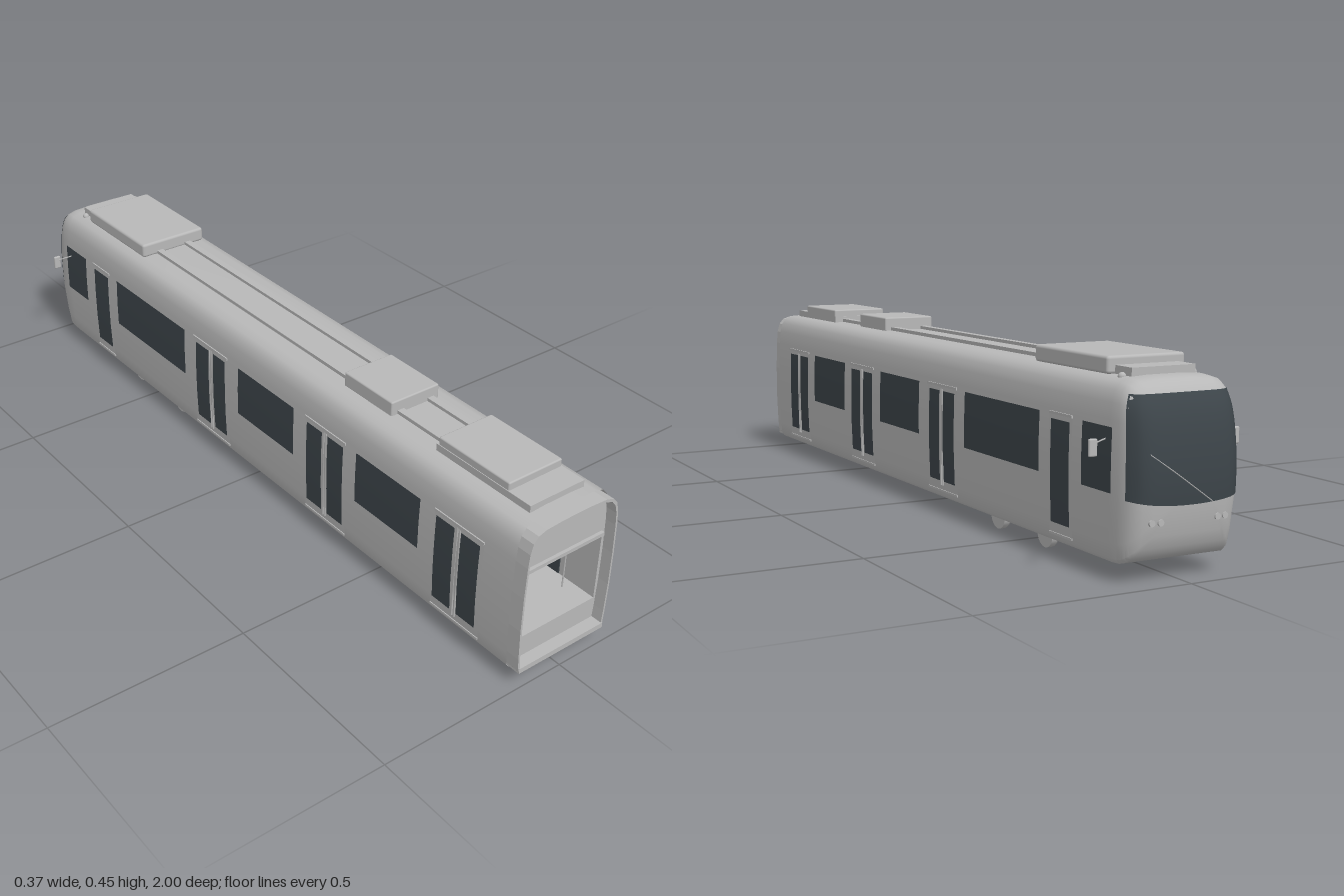
import * as THREE from 'three';
import { toCreasedNormals } from 'three/addons/utils/BufferGeometryUtils.js';
import { RoundedBoxGeometry } from 'three/addons/geometries/RoundedBoxGeometry.js';

const grey = new THREE.MeshStandardMaterial({ color: 0xb8b8b8, side: THREE.DoubleSide });
grey.name = 'body grey';
const glass = new THREE.MeshStandardMaterial({ color: 0x3d454a, side: THREE.DoubleSide });
glass.name = 'dark glass';

// Half cross-section of the car body, bottom to top
const HALF = [[0.125, 0.037], [0.132, 0.046], [0.1345, 0.08], [0.1375, 0.16], [0.1375, 0.25], [0.135, 0.33],
  [0.132, 0.365], [0.125, 0.39], [0.112, 0.405], [0.09, 0.412], [0.04, 0.415]];
const RING = [...HALF, ...HALF.map(([x, y]) => [-x, y]).reverse()];
const CY = 0.22;

// Half width of the body at height y
function halfWidth(y) {
  for (let i = 1; i < HALF.length; i++) {
    const [x0, y0] = HALF[i - 1], [x1, y1] = HALF[i];
    if (y <= y1) return x0 + (x1 - x0) * Math.max(0, (y - y0) / (y1 - y0));
  }
  return HALF.at(-1)[0];
}

// Fraction of the cross-section reached by a point: 0 at centre, 1 on the outline
function reach(x, y) {
  let s = 0;
  RING.forEach(([ax, ay], i) => {
    const [bx, by] = RING[(i + 1) % RING.length];
    const nx = by - ay, ny = ax - bx;
    s = Math.max(s, (nx * x + ny * (y - CY)) / (nx * ax + ny * (ay - CY)));
  });
  return Math.min(1, s);
}

// Rounded cab end
function noseZ(x, y) {
  const t = Math.cbrt(1 - reach(x, y) ** 6);
  return THREE.MathUtils.lerp(-0.9, -0.996 + 0.9 * (y - CY) ** 2, t);
}

// Surface through rows of points
function loft(rows, closed, crease = 0.6) {
  const pos = [], idx = [], n = rows[0].length;
  rows.forEach(r => r.forEach(p => pos.push(...p)));
  for (let i = 0; i < rows.length - 1; i++) {
    for (let j = 0; j < (closed ? n : n - 1); j++) {
      const a = i * n + j, b = i * n + (j + 1) % n, c = a + n, d = b + n;
      idx.push(a, c, b, b, c, d);
    }
  }
  const g = new THREE.BufferGeometry();
  g.setAttribute('position', new THREE.Float32BufferAttribute(pos, 3));
  g.setIndex(idx);
  return toCreasedNormals(g, crease);
}

function outline(k, Type = THREE.Shape) {
  const s = new Type();
  RING.forEach(([x, y], i) => s[i ? 'lineTo' : 'moveTo'](x * k, CY + (y - CY) * k));
  s.closePath();
  return s;
}

export function createModel() {
  const root = new THREE.Group();
  const add = (name, geo, mat = grey, parent = root) => {
    const m = new THREE.Mesh(geo, mat);
    m.name = name;
    parent.add(m);
    return m;
  };
  // Box given by its limits
  const box = (name, x0, x1, y0, y1, z0, z1, mat = grey, round = 0) => {
    const s = [x1 - x0, y1 - y0, z1 - z0];
    const g = round ? new RoundedBoxGeometry(...s, 2, round) : new THREE.BoxGeometry(...s);
    return add(name, g.translate((x0 + x1) / 2, (y0 + y1) / 2, (z0 + z1) / 2), mat);
  };
  const rod = (name, a, b, r, parent = root) => {
    const A = new THREE.Vector3(...a), B = new THREE.Vector3(...b);
    return add(name, new THREE.TubeGeometry(new THREE.LineCurve3(A, B), 1, r, 6), grey, parent);
  };
  // Thin panel that follows the curve of a side wall
  const sidePanel = (name, side, z0, z1, y0, y1, off, mat) => {
    const rows = [z1, z0].map(z => Array.from({ length: 7 }, (_, j) => {
      const y = y0 + (y1 - y0) * j / 6;
      return [side * (halfWidth(y) + off), y, z];
    }));
    if (side < 0) rows.reverse();
    add(name, loft(rows, false), mat);
  };

  // Body shell with rounded cab end
  const rows = [0.965, 0.03].map(z => RING.map(([x, y]) => [x, y, z]));
  for (const s of [1, 0.993, 0.975, 0.95, 0.92, 0.87, 0.8, 0.65, 0.4, 0]) {
    rows.push(RING.map(([px, py]) => {
      const x = px * s, y = CY + (py - CY) * s;
      return [x, y, noseZ(x, y)];
    }));
  }
  add('bodyShell', loft(rows, true));

  // Windscreen
  const screen = [];
  for (let j = 0; j <= 14; j++) {
    screen.push(Array.from({ length: 25 }, (_, i) => {
      const u = i / 12 - 1;
      const y = THREE.MathUtils.lerp(0.162 + 0.012 * u * u, 0.386, j / 14);
      const x = u * 0.97 * halfWidth(CY + (y - CY) / 0.97);
      return [x, y, noseZ(x, y) - 0.003];
    }));
  }
  add('windscreen', loft(screen, false), glass);

  // Wiper and small lamps below the windscreen
  const wiper = [[0.1, 0.27], [0.05, 0.235], [0, 0.2], [-0.05, 0.165]];
  add('wiper', new THREE.TubeGeometry(new THREE.CatmullRomCurve3(
    wiper.map(([x, y]) => new THREE.Vector3(x, y, noseZ(x, y) - 0.004))), 12, 0.0012, 5));
  for (const x of [-0.09, -0.07, 0.07, 0.09]) {
    add('lamp', new THREE.CylinderGeometry(0.007, 0.007, 0.006, 14).rotateX(Math.PI / 2))
      .position.set(x, 0.13, noseZ(x, 0.13));
  }

  // Open end: frame with a large opening, outer lip and sill
  const frame = outline(0.975);
  const hole = new THREE.Path();
  hole.moveTo(-0.122, 0.11).lineTo(0.122, 0.11).lineTo(0.122, 0.28).lineTo(0.108, 0.297)
    .lineTo(-0.108, 0.297).lineTo(-0.122, 0.28).closePath();
  frame.holes.push(hole);
  add('endFrame', new THREE.ExtrudeGeometry(frame, { depth: 0.03, bevelEnabled: false }).translate(0, 0, 0.94));
  const lip = outline(0.98);
  lip.holes.push(outline(0.945, THREE.Path));
  add('endLip', new THREE.ExtrudeGeometry(lip, { depth: 0.05, bevelEnabled: false }).translate(0, 0, 0.948));
  box('endSill', -0.128, 0.128, 0.042, 0.055, 0.96, 1);
  box('openingRail', -0.12, 0.12, 0.288, 0.297, 0.965, 0.978);

  // Interior
  box('floor', -0.125, 0.125, 0.1, 0.108, -0.78, 0.95);
  box('ceiling', -0.124, 0.124, 0.37, 0.376, -0.78, 0.95);
  box('cabPartition', -0.124, 0.124, 0.1, 0.376, -0.79, -0.78);
  box('partitionWindow', -0.035, 0.035, 0.263, 0.288, -0.78, -0.777, glass);
  for (const s of [-1, 1]) {
    box('innerWall', s * 0.125 - 0.001, s * 0.125 + 0.001, 0.1, 0.376, -0.78, 0.95);
    const [a, b] = s > 0 ? [0.003, 0.073] : [-0.073, -0.003];
    box('partitionDoor', a, b, 0.11, 0.265, -0.78, -0.774);
    for (const z of [0.9, 0.69, 0.42, 0.23, -0.07, -0.25]) rod('grabPole', [s * 0.096, 0.108, z], [s * 0.096, 0.37, z], 0.002);
    rod('grabRail', [s * 0.096, 0.3, 0.9], [s * 0.096, 0.3, -0.25], 0.002);
  }

  // Side windows and doors, as [z rear, z front]
  const windows = [[0.445, 0.67], [-0.032, 0.204], [-0.627, -0.279], [-0.911, -0.8]];
  const doors = [
    { span: [0.718, 0.874], panes: [[0.804, 0.863], [0.724, 0.783]] },
    { span: [0.25, 0.405], panes: [[0.338, 0.397], [0.257, 0.316]] },
    { span: [-0.236, -0.08], panes: [[-0.145, -0.091], [-0.225, -0.166]] },
    { span: [-0.76, -0.668], panes: [[-0.751, -0.676]] },
  ];
  for (const s of [-1, 1]) {
    const pane = (name, [z0, z1], y0, y1) => {
      sidePanel(name, s, z0, z1, y0, y1, 0.0015, glass);
      if (z0 > -0.77) box(name + 'Inside', s * 0.1225 - 0.0015, s * 0.1225 + 0.0015, Math.max(y0, 0.11), y1, z0, z1, glass);
    };
    windows.forEach(w => pane('sideWindow', w, 0.182, 0.316));
    for (const { span: [z0, z1], panes } of doors) {
      sidePanel('doorLeaf', s, z0, z1, 0.057, 0.314, 0.0006, grey);
      panes.forEach(p => pane('doorPane', p, 0.08, 0.305));
      const xt = s * halfWidth(0.318), xb = s * halfWidth(0.056);
      box('doorHeader', xt - 0.003, xt + 0.003, 0.315, 0.321, z0, z1);
      box('doorStep', xb - 0.003, xb + 0.003, 0.053, 0.058, z0, z1);
      if (panes.length > 1) {
        const zm = (z0 + z1) / 2;
        for (const d of [-0.004, 0.004]) rod('doorSeal', [s * 0.1365, 0.07, zm + d], [s * 0.1365, 0.31, zm + d], 0.0022);
      }
    }
    // Mirrors
    const mirror = new THREE.Group();
    mirror.name = 'mirror';
    root.add(mirror);
    rod('mirrorArm', [s * 0.13, 0.292, -0.885], [s * 0.175, 0.284, -0.9], 0.0018, mirror);
    add('mirrorHousing', new RoundedBoxGeometry(0.02, 0.037, 0.008, 2, 0.0035), grey, mirror)
      .position.set(s * 0.177, 0.277, -0.902);
  }

  // Roof equipment
  box('frontRoofBase', -0.08, 0.078, 0.405, 0.43, 0.65, 0.94);
  box('frontRoofUnit', -0.078, 0.078, 0.41, 0.449, 0.654, 0.874, grey, 0.004);
  box('middleRoofUnit', -0.072, 0.07, 0.41, 0.449, 0.316, 0.488, grey, 0.004);
  box('rearRoofUnit', -0.098, 0.097, 0.412, 0.45, -0.83, -0.536, grey, 0.007);
  box('rearRoofBase', -0.08, 0.078, 0.405, 0.431, -0.89, -0.82);
  for (const x of [-0.045, 0.045]) box('roofDuct', x - 0.009, x + 0.009, 0.408, 0.423, -0.54, 0.66);
  for (const x of [-0.088, 0.088]) {
    add('roofLamp', new THREE.SphereGeometry(0.009, 12, 8)).position.set(x, 0.412, -0.87);
  }

  // Bogie
  for (const z of [-0.375, -0.59]) {
    for (const s of [-1, 1]) {
      add('wheel', new THREE.CylinderGeometry(0.033, 0.033, 0.014, 28).rotateZ(Math.PI / 2)).position.set(s * 0.092, 0.033, z);
      add('wheelFlange', new THREE.CylinderGeometry(0.03, 0.03, 0.005, 28).rotateZ(Math.PI / 2)).position.set(s * 0.083, 0.033, z);
      add('brakeDisc', new THREE.CylinderGeometry(0.019, 0.019, 0.006, 20).rotateZ(Math.PI / 2)).position.set(s * 0.057, 0.034, z);
    }
  }
  for (const z of [-0.435, -0.535]) box('crossBeam', -0.038, 0.038, 0.022, 0.04, z - 0.012, z + 0.012, grey, 0.004);
  return root;
}
